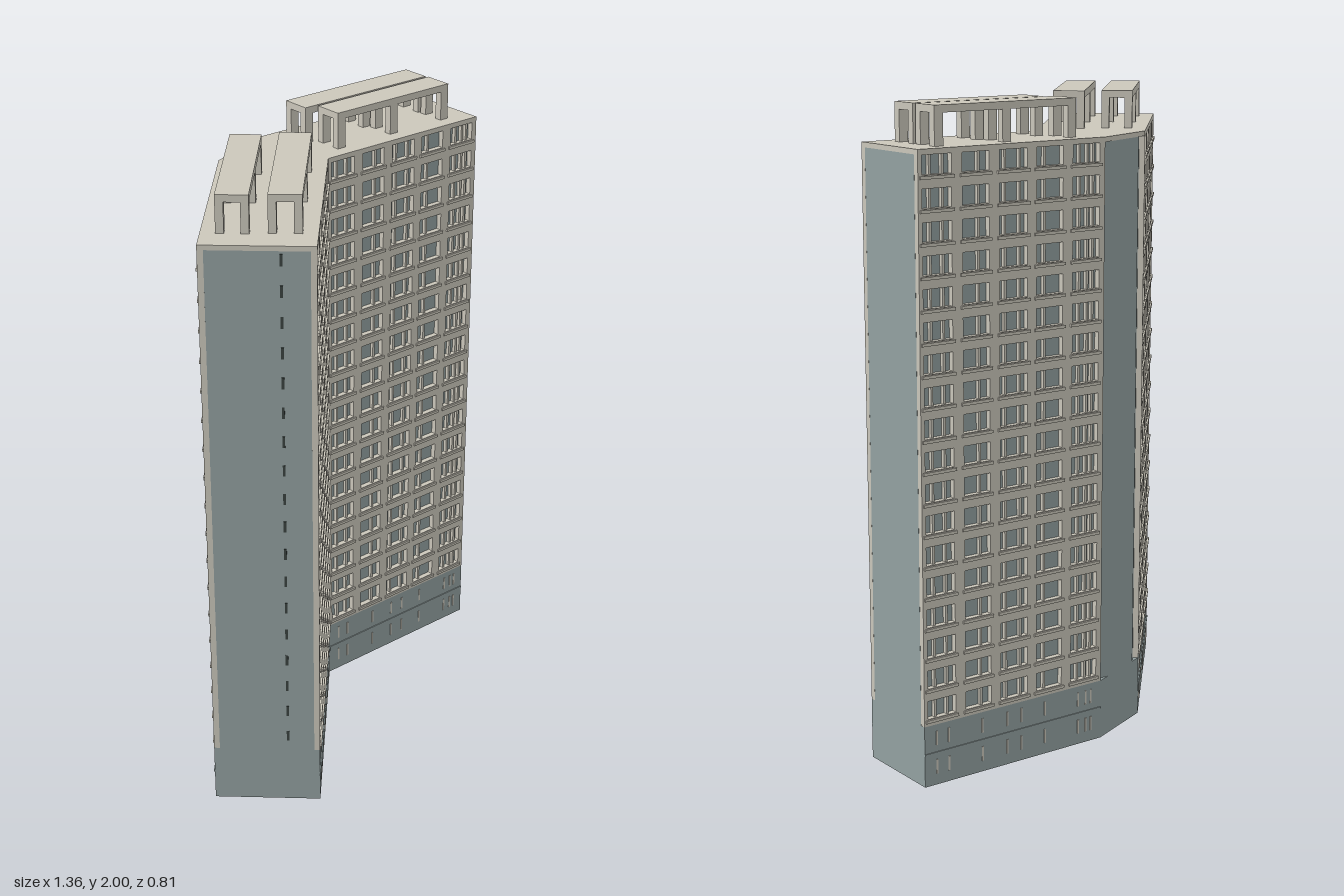
import * as THREE from 'three';
import { mergeGeometries } from 'three/addons/utils/BufferGeometryUtils.js';

const mat = (name, color) => {
  const m = new THREE.MeshStandardMaterial({ color });
  m.name = name;
  return m;
};

// Building footprint as [x, z], walked with the outside on the right
const PLAN = [[-0.68, 0.17], [-0.44, 0.4], [0.05, -0.11], [0.67, -0.09], [0.677, -0.38], [0.02, -0.404], [-0.21, -0.32]];
const FACADES = [1, 2, 4, 6]; // edges carrying windows
const BASE = 0.19, ROOF = 1.885, FLOORS = 18, STEP = (ROOF - BASE) / FLOORS;
const DEPTH = 0.018; // window recess
// Window bays (fractions of the facade) with their mullion positions
const BAYS = [
  { a: 0.02, b: 0.17, m: [0.065, 0.13] },
  { a: 0.225, b: 0.365, m: [0.315] },
  { a: 0.42, b: 0.57, m: [0.455, 0.535] },
  { a: 0.62, b: 0.765, m: [0.67] },
  { a: 0.82, b: 0.97, m: [0.865, 0.91, 0.94] },
];

// Footprint with the window facades moved inward by d
function insetPlan(d) {
  const n = PLAN.length;
  const edges = PLAN.map(([x, z], i) => {
    const [x2, z2] = PLAN[(i + 1) % n];
    const l = Math.hypot(x2 - x, z2 - z), dx = (x2 - x) / l, dz = (z2 - z) / l;
    const k = FACADES.includes(i) ? d : 0;
    return { x: x + dz * k, z: z - dx * k, dx, dz };
  });
  return edges.map((e, i) => {
    const p = edges[(i + n - 1) % n];
    const t = ((e.x - p.x) * e.dz - (e.z - p.z) * e.dx) / (p.dx * e.dz - p.dz * e.dx);
    return [p.x + p.dx * t, p.z + p.dz * t];
  });
}

// Vertical prism over a plan
function prism(plan, y0, y1) {
  const shape = new THREE.Shape(plan.map(([x, z]) => new THREE.Vector2(x, -z)));
  return new THREE.ExtrudeGeometry(shape, { depth: y1 - y0, bevelEnabled: false })
    .rotateX(-Math.PI / 2).translate(0, y0, 0);
}

// Box given by its minimum and maximum corners
const box = (x0, x1, y0, y1, z0, z1) =>
  new THREE.BoxGeometry(x1 - x0, y1 - y0, z1 - z0).translate((x0 + x1) / 2, (y0 + y1) / 2, (z0 + z1) / 2);

function rect(Type, x0, x1, y0, y1) {
  return new Type([[x0, y0], [x1, y0], [x1, y1], [x0, y1]].map(([x, y]) => new THREE.Vector2(x, y)));
}

export function createModel() {
  const concrete = mat('concrete', 0xcbc7bb);
  const glass = mat('blueGreyPanel', 0x93a1a1);
  const dark = mat('darkSlit', 0x39423f);
  const model = new THREE.Group();
  model.name = 'towerBlock';
  const add = (parent, name, geo, material) => {
    const mesh = new THREE.Mesh(geo, material);
    mesh.name = name;
    parent.add(mesh);
    return mesh;
  };

  add(model, 'core', prism(insetPlan(DEPTH), BASE, ROOF - 0.015), glass);
  add(model, 'podium', prism(PLAN, 0, BASE), glass);
  add(model, 'roofSlab', prism(PLAN, ROOF - 0.015, ROOF), concrete);

  // Group lying on footprint edge i: x along the wall, z outward
  const onEdge = (i, name) => {
    const [x, z] = PLAN[i], [x2, z2] = PLAN[(i + 1) % PLAN.length];
    const g = new THREE.Group();
    g.name = name;
    g.position.set(x, 0, z);
    g.rotation.y = Math.atan2(z - z2, x2 - x);
    model.add(g);
    return [g, Math.hypot(x2 - x, z2 - z)];
  };

  // Window facades: pierced concrete wall, mullions, sills and podium strips
  for (const i of FACADES) {
    const [g, len] = onEdge(i, 'facade');
    const wall = rect(THREE.Shape, 0, len, BASE, ROOF - 0.015);
    const mullions = [], sills = [], strips = [];
    for (let f = 0; f < FLOORS; f++) {
      const y0 = BASE + f * STEP + 0.022, y1 = y0 + 0.056;
      for (const { a, b, m } of BAYS) {
        wall.holes.push(rect(THREE.Path, a * len, b * len, y0, y1));
        for (const u of m) mullions.push(box(u * len - 0.004, u * len + 0.004, y0, y1, -DEPTH, -0.006));
        sills.push(box(a * len - 0.008, b * len + 0.008, y0 - 0.012, y0 - 0.003, -0.002, 0.005));
      }
    }
    for (const { m } of BAYS) {
      for (const u of m) {
        for (const y of [0.035, 0.125]) strips.push(box(u * len - 0.003, u * len + 0.003, y, y + 0.045, -0.001, 0.002));
      }
    }
    add(g, 'windowWall', new THREE.ExtrudeGeometry(wall, { depth: DEPTH, bevelEnabled: false }).translate(0, 0, -DEPTH), concrete);
    add(g, 'mullions', mergeGeometries(mullions), concrete);
    add(g, 'sills', mergeGeometries(sills), concrete);
    add(g, 'podiumStrips', mergeGeometries(strips), concrete);
    add(g, 'podiumLedge', box(0, len, 0.098, 0.104, -0.001, 0.003), glass);
  }

  // Narrow stair windows on the end of the left-hand wing
  const [end, endLen] = onEdge(0, 'endWall');
  const slits = [];
  for (let f = 0; f < FLOORS; f++) {
    const y = BASE + f * STEP + 0.035, x = endLen * 0.7;
    slits.push(box(x - 0.004, x + 0.004, y, y + 0.036, -0.001, 0.002));
  }
  add(end, 'stairSlits', mergeGeometries(slits), dark);

  // Roof pergolas: slab on three pairs of posts; [centre x, centre z, length, width, direction]
  const right = Math.atan2(-0.015, 0.5), left = Math.atan2(0.365, 0.35);
  const pergolas = [
    [0.34, -0.3, 0.5, 0.095, right], [0.36, -0.195, 0.46, 0.095, right],
    [-0.38, -0.01, 0.505, 0.095, left], [-0.263, 0.081, 0.52, 0.097, left],
  ];
  for (const [x, z, l, w, turn] of pergolas) {
    const g = new THREE.Group();
    g.name = 'roofPergola';
    g.position.set(x, 0, z);
    g.rotation.y = turn;
    model.add(g);
    add(g, 'pergolaSlab', box(-l / 2, l / 2, 1.978, 2, -w / 2, w / 2), concrete);
    const posts = [];
    for (const px of [-l / 2 + 0.015, 0, l / 2 - 0.015]) {
      for (const pz of [-w / 2 + 0.012, w / 2 - 0.012]) {
        posts.push(box(px - 0.015, px + 0.015, ROOF - 0.005, 1.98, pz - 0.012, pz + 0.012));
      }
    }
    add(g, 'pergolaPosts', mergeGeometries(posts), concrete);
  }
  return model;
}
